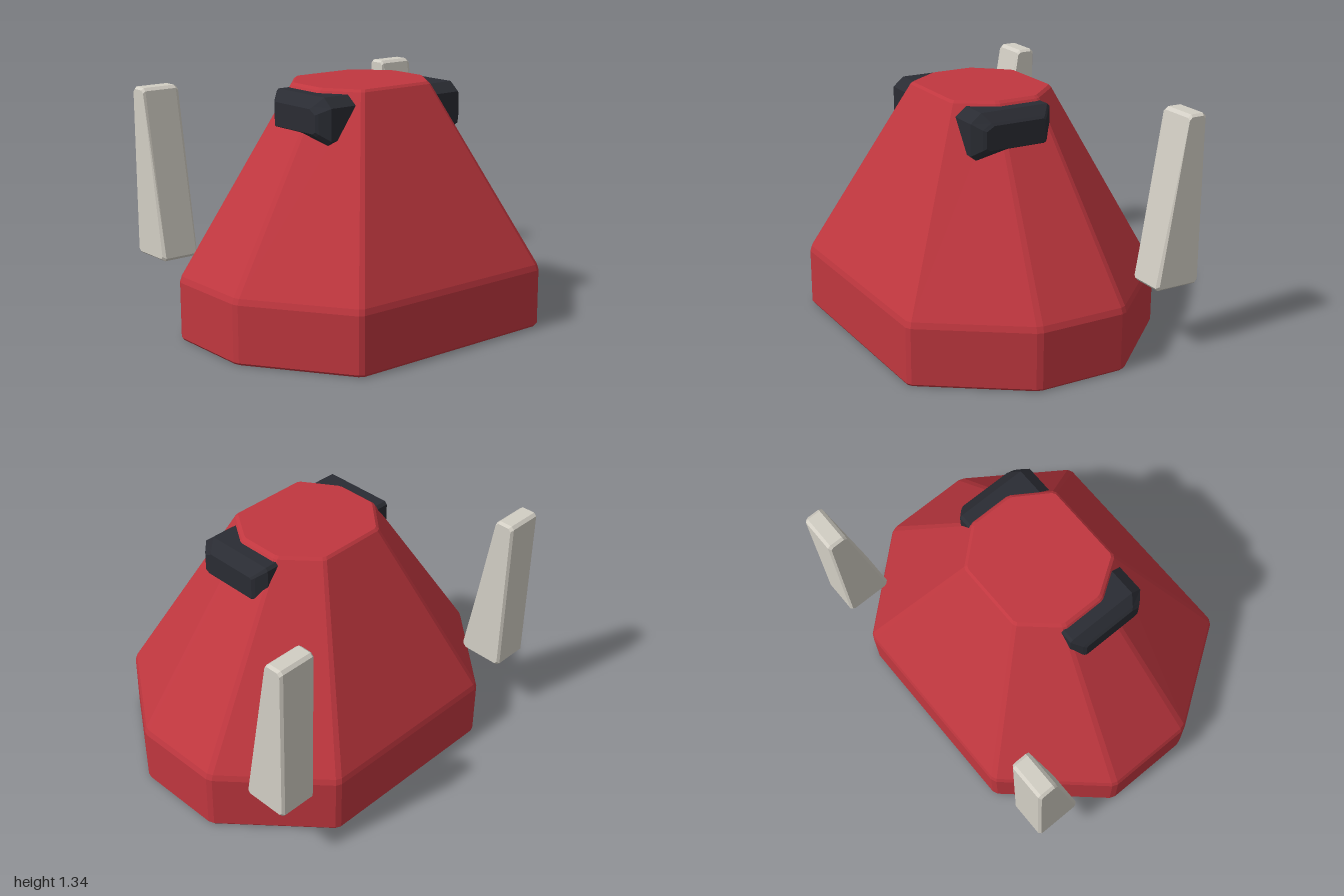
import * as THREE from 'three';

const red = new THREE.MeshStandardMaterial({ color: 0xc0373f });
red.name = 'red shell';
const cream = new THREE.MeshStandardMaterial({ color: 0xd2cec4 });
cream.name = 'cream fin';
const dark = new THREE.MeshStandardMaterial({ color: 0x2a2c33 });
dark.name = 'dark pod';

// Joins equal-length cross-sections (arrays of Vector3) into a capped, faceted solid
function loft(rings) {
  const tris = [];
  const n = rings[0].length;
  for (let r = 0; r < rings.length - 1; r++) {
    for (let i = 0; i < n; i++) {
      const j = (i + 1) % n;
      const a = rings[r][i], b = rings[r][j], c = rings[r + 1][j], d = rings[r + 1][i];
      tris.push([a, b, c], [a, c, d]);
    }
  }
  const first = rings[0], last = rings[rings.length - 1];
  for (let i = 1; i < n - 1; i++) {
    tris.push([first[0], first[i + 1], first[i]], [last[0], last[i], last[i + 1]]);
  }
  // Turn the faces outward whichever way the sections run
  const o = first[0], cross = new THREE.Vector3();
  let volume = 0;
  for (const [a, b, c] of tris) {
    cross.crossVectors(b.clone().sub(o), c.clone().sub(o));
    volume += a.clone().sub(o).dot(cross);
  }
  if (volume < 0) tris.forEach((t) => t.reverse());
  const geometry = new THREE.BufferGeometry().setFromPoints(tris.flat());
  geometry.computeVertexNormals();
  return geometry;
}

// Cuts each corner of a 2D outline by a small distance
function chamfer(outline, d) {
  return outline.flatMap(([x, z], i) => {
    const n = outline.length;
    return [outline[(i + n - 1) % n], outline[(i + 1) % n]].map(([u, v]) => {
      const t = d / Math.hypot(u - x, v - z);
      return [x + (u - x) * t, z + (v - z) * t];
    });
  });
}

// Completes a left half outline with its mirror image
const mirrored = (half) => [...half, ...half.map(([x, z]) => [-x, z]).reverse()];

function makeBody() {
  const base = chamfer(mirrored([[0.625, 0.777], [1.003, 0.23], [1.003, -0.277], [0.55, -0.78]]), 0.018);
  const crown = chamfer(mirrored([[0.23, 0.307], [0.36, 0.11], [0.36, -0.13], [0.195, -0.315]]), 0.012);
  // [height, blend from base to crown, scale]
  const levels = [
    [0, 0, 0.99], [0.012, 0, 1], [0.318, 0, 1], [0.35, 0.017, 1],
    [1.322, 0.988, 1], [1.335, 1, 0.975],
  ];
  const rings = levels.map(([y, t, s]) => base.map(([x, z], i) => new THREE.Vector3(
    (x + (crown[i][0] - x) * t) * s, y, (z + (crown[i][1] - z) * t) * s)));
  return new THREE.Mesh(loft(rings), red);
}

// Dark pod sunk into the upper flank, bevelled on its outer face
function makePod(side) {
  const outline = [
    [0.31, 1.26], [0.25, 1.31], [-0.14, 1.31], [-0.155, 1.295],
    [-0.155, 1.08], [-0.14, 1.065], [0.28, 1.065], [0.31, 1.09],
  ];
  const cz = 0.078, cy = 1.188;
  // [x, z scale, y scale]
  const sections = [[0.27, 1, 1], [0.44, 1, 1], [0.488, 0.81, 0.63], [0.5, 0.74, 0.52]];
  const rings = sections.map(([x, sz, sy]) => outline.map(([z, y]) =>
    new THREE.Vector3(side * x, cy + (y - cy) * sy, cz + (z - cz) * sz)));
  return new THREE.Mesh(loft(rings), dark);
}

// Upright rear fin: sloped front, vertical back, softly bevelled edges
function makeFin(side) {
  const outline = chamfer([[-0.508, 0.365], [-0.67, 1.295], [-0.777, 1.295], [-0.777, 0.365]], 0.016);
  const cz = -0.675, cy = 0.83;
  const sections = [[0.73, 0.9, 0.975], [0.745, 1, 1], [0.935, 1, 1], [0.95, 0.9, 0.975]];
  const rings = sections.map(([x, sz, sy]) => outline.map(([z, y]) =>
    new THREE.Vector3(side * x, cy + (y - cy) * sy, cz + (z - cz) * sz)));
  return new THREE.Mesh(loft(rings), cream);
}

export function createModel() {
  const model = new THREE.Group();
  model.name = 'model';
  const add = (name, mesh) => {
    mesh.name = name;
    model.add(mesh);
  };
  add('body', makeBody());
  for (const [label, side] of [['left', 1], ['right', -1]]) {
    add(`${label}Pod`, makePod(side));
    add(`${label}Fin`, makeFin(side));
  }
  return model;
}
